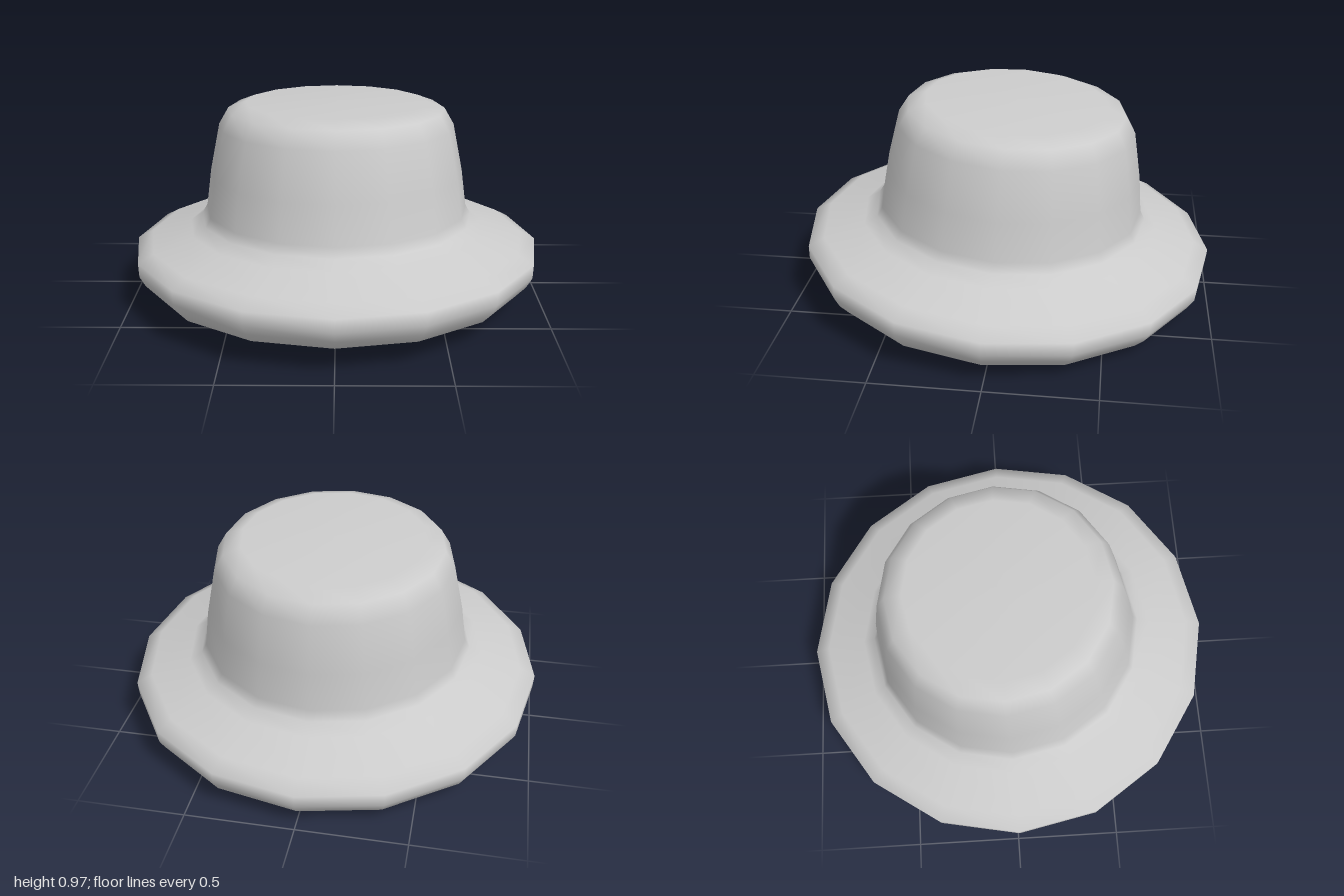
import * as THREE from 'three';

export function createModel() {
  const model = new THREE.Group();
  const material = new THREE.MeshStandardMaterial({ color: 0xcccccc });
  const sides = 16;

  // One continuous shell of [radius, height]: shallow hollow underside, rolled brim, then crown
  const hollow = [[0, 0.155], [0.4, 0.14], [0.52, 0.09], [0.64, 0.03], [0.71, 0.003]];
  const brim = [[0.82, 0], [0.87, 0.01], [0.925, 0.035], [0.97, 0.085], [0.997, 0.135], [1, 0.2],
    [0.925, 0.24], [0.73, 0.295]];
  const crown = [[0.67, 0.335], [0.645, 0.38], [0.62, 0.56], [0.572, 0.79], [0.525, 0.87],
    [0.44, 0.902], [0, 0.905]];

  const profile = [...hollow, ...brim, ...crown].map(([r, y]) => new THREE.Vector2(r, y));
  const hat = new THREE.Mesh(new THREE.LatheGeometry(profile, sides), material);
  hat.name = 'hat';

  // The hat sits tipped slightly back
  hat.rotation.x = -0.057;
  hat.position.set(0, 0.048, 0.01);
  model.add(hat);
  return model;
}
